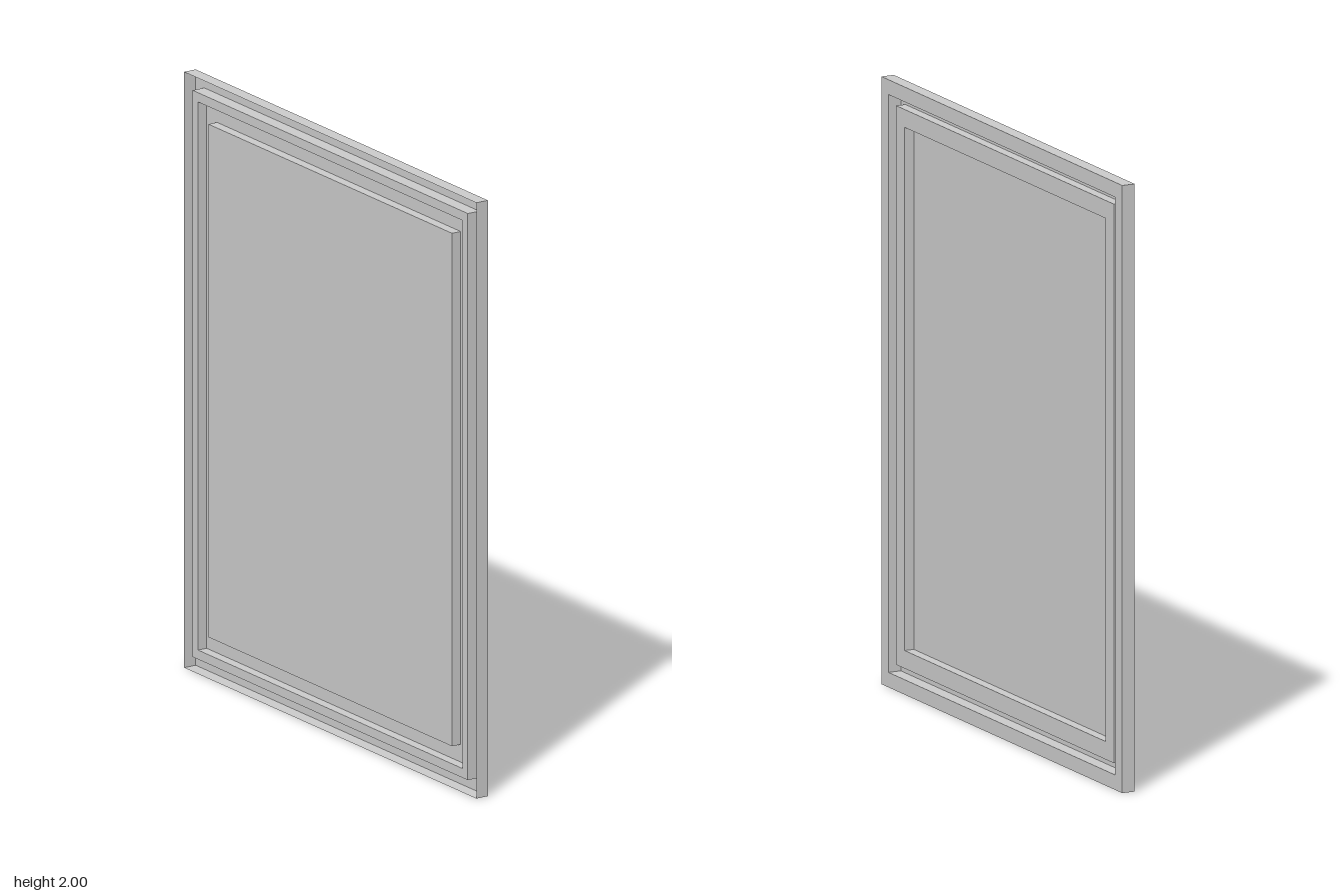
import * as THREE from 'three';

const H = 2, HALF_Z = 0.834;
const FRONT = 0.0225, BACK = -0.0225, SASH = 0.011;

const material = new THREE.MeshStandardMaterial({ color: 0xcccccc, flatShading: true, side: THREE.DoubleSide });

// Rectangle inset by m from the outline, at depth x, counter-clockwise seen from +x
function rect([m, x]) {
  const z = HALF_Z - m;
  return [[x, m, z], [x, m, -z], [x, H - m, -z], [x, H - m, z]];
}

// Sheet that joins successive inset rectangles; the last may be closed with a panel
function sheet(name, sections, closed = false) {
  const pos = [];
  const quad = (a, b, c, d) => pos.push(...a, ...b, ...c, ...a, ...c, ...d);
  for (let i = 0; i + 1 < sections.length; i++) {
    const outer = rect(sections[i]), inner = rect(sections[i + 1]);
    for (let k = 0; k < 4; k++) {
      const n = (k + 1) % 4;
      quad(outer[k], outer[n], inner[n], inner[k]);
    }
  }
  if (closed) quad(...rect(sections[sections.length - 1]));
  const geometry = new THREE.BufferGeometry();
  geometry.setAttribute('position', new THREE.Float32BufferAttribute(pos, 3));
  geometry.computeVertexNormals();
  const mesh = new THREE.Mesh(geometry, material);
  mesh.name = name;
  return mesh;
}

export function createModel() {
  const group = new THREE.Group();
  group.name = 'framedPanel';
  group.add(
    // Outer edge and face of the frame, open at the back
    sheet('outerFrame', [[0, BACK], [0, FRONT], [0.049, FRONT]]),
    // Narrow channel between the frame and the inner border
    sheet('groove', [[0.049, FRONT], [0.049, BACK], [0.08, BACK], [0.08, SASH]]),
    // Flat inner border, set slightly below the frame
    sheet('innerBorder', [[0.08, SASH], [0.139, SASH]]),
    // Recessed panel with its side walls
    sheet('panel', [[0.139, SASH], [0.139, BACK]], true),
  );
  return group;
}
